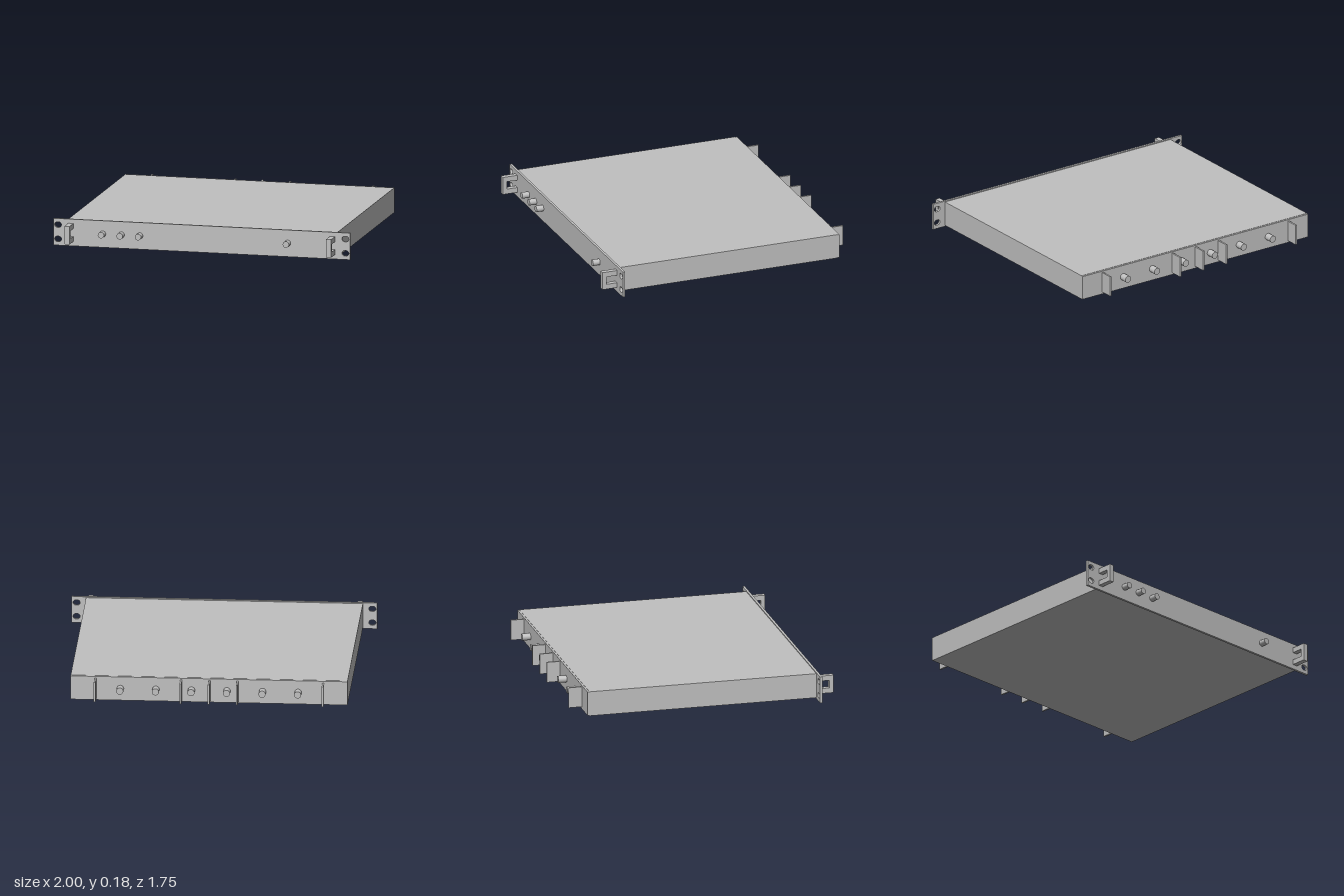
import * as THREE from 'three';

const steel = new THREE.MeshStandardMaterial({ color: 0xc0c0c0 });
steel.name = 'grey steel';

export function createModel() {
  const group = new THREE.Group();

  function add(name, geometry, x, y, z) {
    const mesh = new THREE.Mesh(geometry, steel);
    mesh.name = name;
    mesh.position.set(x, y, z);
    group.add(mesh);
    return mesh;
  }

  // Flat shape drawn from corner points
  const outline = (points) => new THREE.Shape(points.map(([x, y]) => new THREE.Vector2(x, y)));

  // Chassis with its rear panel
  add('chassis', new THREE.BoxGeometry(1.812, 0.165, 1.531), 0, 0.0895, -0.0085);
  add('rearPanel', new THREE.BoxGeometry(1.812, 0.161, 0.013), 0, 0.0895, -0.7805);

  // Front panel with four oval mounting slots
  const panel = outline([[-1, 0], [1, 0], [1, 0.178], [-1, 0.178]]);
  for (const x of [-0.968, 0.968]) {
    for (const y of [0.042, 0.137]) {
      const slot = new THREE.Path();
      slot.absarc(x + 0.005, y, 0.018, -Math.PI / 2, Math.PI / 2, false);
      slot.absarc(x - 0.005, y, 0.018, Math.PI / 2, Math.PI * 1.5, false);
      slot.closePath();
      panel.holes.push(slot);
    }
  }
  add('frontPanel', new THREE.ExtrudeGeometry(panel, { depth: 0.016, bevelEnabled: false, curveSegments: 12 }), 0, 0, 0.757);

  // U-shaped handles, profile drawn in depth and height
  const handle = outline([
    [0.773, 0.03], [0.875, 0.03], [0.875, 0.15], [0.773, 0.15],
    [0.773, 0.116], [0.847, 0.116], [0.847, 0.064], [0.773, 0.064],
  ]);
  const handleGeometry = new THREE.ExtrudeGeometry(handle, { depth: 0.034, bevelEnabled: false });
  handleGeometry.translate(0, 0, -0.017);
  handleGeometry.rotateY(-Math.PI / 2);
  add('rightHandle', handleGeometry, -0.881, 0, 0);
  add('leftHandle', handleGeometry, 0.881, 0, 0);

  // Front knobs
  const knob = new THREE.CylinderGeometry(0.021, 0.021, 0.05, 24).rotateX(Math.PI / 2);
  for (const x of [-0.667, -0.541, -0.417, 0.579]) add('frontKnob', knob, x, 0.09, 0.797);

  // Rear connectors
  const connector = new THREE.CylinderGeometry(0.023, 0.023, 0.06, 24).rotateX(Math.PI / 2);
  for (let i = 0; i < 6; i++) add('rearConnector', connector, -0.583 + i * 0.2327, 0.09, -0.813);

  // Rear guard fins
  const fin = new THREE.BoxGeometry(0.012, 0.137, 0.09);
  for (const x of [-0.748, -0.187, -0.003, 0.182, 0.743]) add('rearFin', fin, x, 0.0915, -0.83);

  return group;
}
